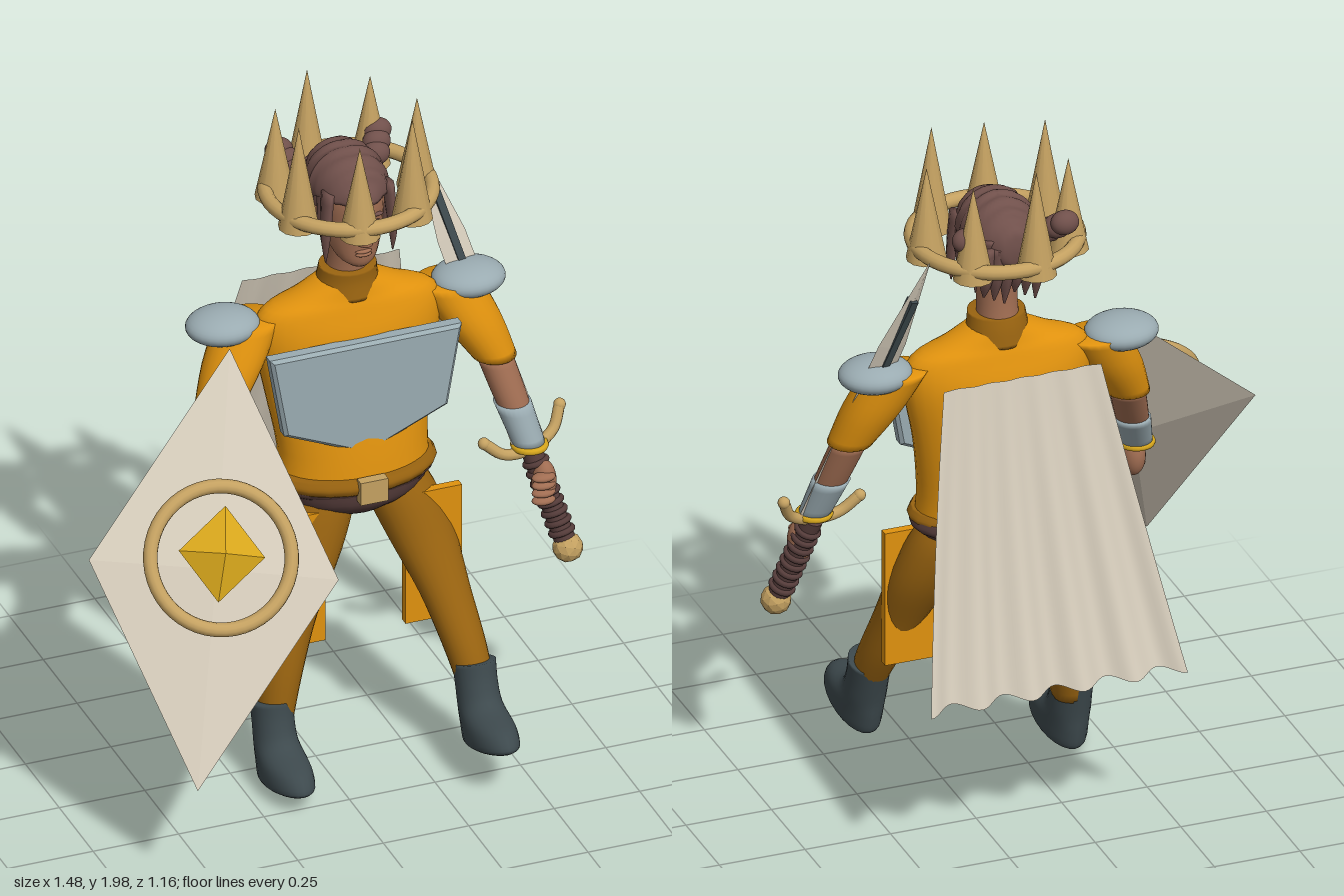
import * as THREE from 'three';

const mat = (name, color, side = THREE.FrontSide) => {
  const m = new THREE.MeshStandardMaterial({ color, side });
  m.name = name;
  return m;
};
const V = (x, y, z) => new THREE.Vector3(x, y, z);

// Skin through horizontal elliptical sections [x, y, z, rx, rz], listed bottom to top
function loft(sections, seg = 24, sub = 4) {
  const rings = [];
  const catmull = (a, b, c, d, t) =>
    b + 0.5 * t * (c - a + t * (2 * a - 5 * b + 4 * c - d + t * (3 * (b - c) + d - a)));
  const last = sections.length - 1;
  for (let i = 0; i < last; i++) for (let k = 0; k < sub; k++) {
    const [a, b, c, d] = [i - 1, i, i + 1, i + 2].map(n => sections[Math.min(last, Math.max(0, n))]);
    rings.push(b.map((_, j) => catmull(a[j], b[j], c[j], d[j], k / sub)));
  }
  rings.push(sections[last]);
  const pos = [], idx = [], n = rings.length;
  rings.forEach(([x, y, z, rx, rz]) => {
    for (let s = 0; s < seg; s++) {
      const a = s / seg * Math.PI * 2;
      pos.push(x + rx * Math.cos(a), y, z + rz * Math.sin(a));
    }
  });
  pos.push(...rings[0].slice(0, 3), ...rings[n - 1].slice(0, 3));
  for (let s = 0; s < seg; s++) {
    const t = (s + 1) % seg, top = (n - 1) * seg;
    for (let r = 0; r < n - 1; r++) {
      const a = r * seg + s, b = r * seg + t;
      idx.push(a, a + seg, b, b, a + seg, b + seg);
    }
    idx.push(n * seg, s, t, n * seg + 1, top + t, top + s);
  }
  const g = new THREE.BufferGeometry();
  g.setAttribute('position', new THREE.Float32BufferAttribute(pos, 3));
  g.setIndex(idx);
  g.computeVertexNormals();
  return g;
}

function flat(g) {
  const f = g.index ? g.toNonIndexed() : g;
  f.computeVertexNormals();
  return f;
}

export function createModel() {
  const root = new THREE.Group();
  const orange = mat('orange cloth', 0xe0920e), ochre = mat('dark orange cloth', 0x9a6410);
  const steel = mat('pale steel', 0x9aabb1), cream = mat('cream', 0xd3cab9, THREE.DoubleSide);
  const hairMat = mat('hair brown', 0x70504b), leather = mat('dark leather', 0x553c3a);
  const skin = mat('skin', 0xa06d52), slate = mat('slate', 0x3d494d);
  const tan = mat('tan gold', 0xc4a161), gold = mat('yellow gold', 0xd8a71c);

  const add = (name, geo, m, pos = [0, 0, 0], parent = root, scale = [1, 1, 1]) => {
    const mesh = new THREE.Mesh(geo, m);
    mesh.name = name;
    mesh.position.set(...pos);
    mesh.scale.set(...scale);
    parent.add(mesh);
    return mesh;
  };
  const group = (name, parent = root) => {
    const g = new THREE.Group();
    g.name = name;
    parent.add(g);
    return g;
  };
  const ball = new THREE.SphereGeometry(1, 28, 18);
  const cx = 0.135;

  // Torso, collar, hips
  add('torso', loft([[0.14, 0.84, -0.075, 0.22, 0.14], [0.14, 0.95, -0.085, 0.215, 0.135],
    [cx, 1.12, -0.105, 0.24, 0.125], [cx, 1.28, -0.11, 0.27, 0.12], [cx, 1.37, -0.11, 0.255, 0.095],
    [cx, 1.41, -0.11, 0.165, 0.08], [cx, 1.45, -0.11, 0.08, 0.07]], 36), orange);
  add('collar', loft([[cx, 1.4, -0.11, 0.095, 0.085], [cx, 1.45, -0.11, 0.085, 0.078], [cx, 1.485, -0.105, 0.08, 0.074]]), ochre);
  add('hips', loft([[cx, 0.76, -0.07, 0.11, 0.09], [cx, 0.8, -0.07, 0.19, 0.13], [cx, 0.85, -0.075, 0.225, 0.145]]), leather);
  add('beltLower', loft([[cx, 0.835, -0.08, 0.225, 0.145], [cx, 0.85, -0.08, 0.237, 0.152], [cx, 0.872, -0.08, 0.232, 0.15]]), leather);
  add('beltUpper', loft([[cx, 0.85, -0.07, 0.225, 0.145], [cx, 0.87, -0.07, 0.24, 0.153], [cx, 0.893, -0.07, 0.228, 0.145]]), ochre);
  add('buckle', new THREE.BoxGeometry(0.08, 0.07, 0.03), tan, [cx, 0.865, 0.08]);

  // Chest plate
  const plate = new THREE.Shape([[-0.27, 0.34], [-0.23, 0.11], [0, 0.01], [0.23, 0.11], [0.27, 0.34]].map(p => new THREE.Vector2(...p)));
  add('chestPlate', new THREE.ExtrudeGeometry(plate, { depth: 0.03, bevelThickness: 0.01, bevelSize: 0.01, bevelSegments: 1 }),
    steel, [cx, 0.955, 0]);

  // Legs, boots and thigh plates
  const bootGeo = loft([[0, 0, 0.07, 0.05, 0.12], [0, 0.015, 0.07, 0.065, 0.14], [0, 0.06, 0.055, 0.066, 0.125],
    [0, 0.11, 0.01, 0.06, 0.075], [0, 0.17, 0, 0.058, 0.064], [0, 0.23, 0, 0.06, 0.064]]);
  const legs = {
    right: { leg: [[-0.14, 0.17, 0.045, 0.05, 0.055], [-0.115, 0.32, 0.025, 0.062, 0.07], [-0.07, 0.48, 0, 0.07, 0.075],
      [-0.01, 0.65, -0.035, 0.095, 0.09], [0.03, 0.78, -0.06, 0.1, 0.095], [0.045, 0.86, -0.07, 0.08, 0.08]],
    boot: [-0.145, 0.018, 0.085], tilt: -0.2, plate: -0.065 },
    left: { leg: [[0.395, 0.25, 0.19, 0.05, 0.055], [0.38, 0.36, 0.135, 0.06, 0.07], [0.35, 0.5, 0.065, 0.072, 0.075],
      [0.31, 0.65, -0.01, 0.095, 0.09], [0.265, 0.78, -0.055, 0.1, 0.095], [0.235, 0.86, -0.07, 0.08, 0.08]],
    boot: [0.395, 0.1, 0.24], tilt: -0.3, plate: 0.335 },
  };
  for (const [side, d] of Object.entries(legs)) {
    add(side + 'Leg', loft(d.leg), ochre);
    add(side + 'Boot', bootGeo, slate, d.boot).rotation.x = d.tilt;
    add(side + 'ThighPlate', new THREE.BoxGeometry(0.165, 0.405, 0.026), orange, [d.plate, 0.588, 0.014]);
  }

  // Arms: sleeve, forearm, bracer, cuff ring, hand, shoulder pad
  const arms = {
    right: { pad: [-0.225, 1.355, -0.12], shoulder: [-0.15, 1.36, -0.12], elbow: [-0.27, 1.13, -0.05], wrist: [-0.36, 0.87, 0.11], hand: [-0.375, 0.8, 0.175] },
    left: { pad: [0.492, 1.355, -0.115], shoulder: [0.43, 1.36, -0.12], elbow: [0.545, 1.13, -0.06], wrist: [0.615, 0.87, 0.035], hand: [0.64, 0.78, 0.07] },
  };
  for (const [side, a] of Object.entries(arms)) {
    const mix = (t, p = a.elbow, q = a.wrist) => p.map((v, i) => v + (q[i] - v) * t);
    const g = group(side + 'Arm');
    add('sleeve', loft([[...a.elbow, 0.062, 0.065], [...mix(0.5, a.elbow, a.shoulder), 0.085, 0.08], [...a.shoulder, 0.09, 0.075]]), orange, [0, 0, 0], g);
    add('forearm', loft([[...a.wrist, 0.035, 0.035], [...mix(0.5), 0.046, 0.048], [...a.elbow, 0.05, 0.052]]), skin, [0, 0, 0], g);
    add('bracer', loft([[...mix(0.97), 0.045, 0.044], [...mix(0.5), 0.052, 0.054]]), steel, [0, 0, 0], g);
    add('cuffRing', new THREE.TorusGeometry(0.043, 0.01, 8, 24), gold, mix(0.97), g).rotation.x = Math.PI / 2;
    add('palm', ball, skin, a.hand, g, [0.034, 0.062, 0.04]);
    for (let i = 0; i < 4; i++)
      add('finger', ball, skin, [a.hand[0] - 0.012, a.hand[1] - 0.045 + i * 0.024, a.hand[2] + 0.028], g, [0.034, 0.013, 0.022]);
    add('shoulderPad', ball, steel, a.pad, root, [0.104, 0.047, 0.09]);
  }

  // Head: lofted face, features, ears, neck
  const head = group('head');
  add('neck', loft([[cx, 1.43, -0.12, 0.062, 0.065], [cx, 1.52, -0.11, 0.056, 0.062], [cx, 1.62, -0.1, 0.06, 0.07]]), skin, [0, 0, 0], head);
  add('face', loft([[cx, 1.53, -0.025, 0.028, 0.03], [cx, 1.55, -0.045, 0.055, 0.06], [cx, 1.6, -0.075, 0.077, 0.093],
    [cx, 1.66, -0.09, 0.088, 0.112], [cx, 1.73, -0.1, 0.094, 0.122], [cx, 1.79, -0.1, 0.075, 0.1], [cx, 1.825, -0.1, 0.03, 0.04]]), skin, [0, 0, 0], head);
  add('nose', loft([[cx, 1.607, 0.022, 0.019, 0.014], [cx, 1.618, 0.028, 0.019, 0.024], [cx, 1.65, 0.02, 0.011, 0.016], [cx, 1.69, 0.012, 0.01, 0.01]], 12), skin, [0, 0, 0], head);
  for (const y of [1.583, 1.573]) add('lip', ball, skin, [cx, y, 0.012], head, [0.024, 0.007, 0.012]);
  for (const s of [-1, 1]) {
    add('eye', ball, leather, [cx + s * 0.036, 1.668, 0.009], head, [0.015, 0.006, 0.006]);
    add('brow', ball, hairMat, [cx + s * 0.037, 1.69, 0.01], head, [0.022, 0.006, 0.008]);
    add('ear', ball, skin, [cx + s * 0.09, 1.65, -0.1], head, [0.014, 0.035, 0.022]);
  }

  // Hair: ridged cap, tufts and hanging locks
  const hair = group('hair', head);
  const capGeo = new THREE.SphereGeometry(1, 40, 40);
  const cp = capGeo.attributes.position;
  for (let i = 0; i < cp.count; i++) {
    const p = V(0, 0, 0).fromBufferAttribute(cp, i);
    p.multiplyScalar(1 + 0.035 * Math.sin(p.z * 20 + 2 * Math.abs(p.x)));
    if (p.y < 0) p.z -= Math.max(0, p.z + 0.4) * Math.min(1, -p.y * 2.2);
    cp.setXYZ(i, p.x, p.y, p.z);
  }
  capGeo.computeVertexNormals();
  add('hairCap', capGeo, hairMat, [cx, 1.735, -0.115], hair, [0.108, 0.108, 0.148]);
  for (const s of [-1, 1]) {
    for (let i = 0; i < 3; i++)
      add('tuft', ball, hairMat, [cx + s * (0.12 + 0.012 * i), 1.75 + 0.02 * i, -0.2 - 0.025 * i], hair, [0.04, 0.035, 0.032]);
    for (let i = 0; i < 5; i++) {
      const z = -0.02 - i * 0.045, low = 1.55 + 0.022 * ((i * 2) % 5);
      const x = cx + s * (0.098 - 0.006 * i);
      add('sideLock', loft([[x, low, z, 0.002, 0.003], [x, low + 0.08, z, 0.013, 0.02], [x - s * 0.01, 1.76, z - 0.01, 0.016, 0.03]], 8), hairMat, [0, 0, 0], hair);
    }
  }
  for (let i = 0; i < 6; i++) {
    const x = cx - 0.075 + i * 0.03;
    add('backLock', loft([[x, 1.55 + 0.015 * (i % 3), -0.205, 0.003, 0.003], [x, 1.64, -0.22, 0.02, 0.022], [x, 1.74, -0.23, 0.022, 0.024]], 8), hairMat, [0, 0, 0], hair);
  }

  // Crown
  const crown = group('crown');
  crown.position.set(0.14, 0, -0.11);
  add('crownRing', new THREE.TorusGeometry(0.228, 0.021, 12, 48), tan, [0, 1.715, 0], crown).rotation.x = Math.PI / 2;
  for (let i = 0; i < 7; i++) {
    const a = i / 7 * Math.PI * 2, h = i % 2 ? 0.31 : 0.275;
    add('crownSpike', new THREE.ConeGeometry(0.057, h, 12), tan, [0.2 * Math.cos(a), 1.68 + h / 2, 0.2 * Math.sin(a)], crown);
  }

  // Cape: flaring wavy sheet
  const cape = new THREE.PlaneGeometry(1, 1, 60, 16);
  const q = cape.attributes.position;
  for (let i = 0; i < q.count; i++) {
    const u = q.getX(i), t = 0.5 - q.getY(i);
    const wave = Math.cos(u * Math.PI * 10) * (0.003 + 0.016 * t);
    q.setXYZ(i, cx + u * (0.46 + 0.29 * t), 1.365 - 0.835 * t + 0.4 * wave * t,
      -0.3 - 0.2 * t - 0.06 * t * t + wave);
  }
  cape.computeVertexNormals();
  add('cape', cape, cream);

  // Shield: flattened diamond with ring and gem
  const shield = group('shield');
  shield.applyMatrix4(new THREE.Matrix4().makeBasis(V(0.95, -0.157, 0.26), V(0.265, 0.836, -0.48), V(-0.142, 0.525, 0.836)));
  shield.position.set(-0.412, 0.845, 0.288);
  const octa = new THREE.OctahedronGeometry(1);
  add('shieldBody', octa, cream, [0, 0, 0], shield, [0.347, 0.604, 0.045]);
  add('shieldRing', new THREE.TorusGeometry(0.196, 0.02, 12, 48), tan, [0, 0.03, 0.1], shield);
  add('shieldGem', octa, gold, [0, 0.04, 0.11], shield, [0.12, 0.132, 0.06]);

  // Sword: pommel at the origin, blade along local y
  const sword = group('sword');
  const up = V(-0.31, 1.195, -0.39).normalize(), across = V(0.97, 0.19, -0.2);
  across.addScaledVector(up, -across.dot(up)).normalize();
  sword.applyMatrix4(new THREE.Matrix4().makeBasis(across, up, across.clone().cross(up)));
  sword.position.set(0.69, 0.585, 0.12);
  add('pommel', flat(new THREE.IcosahedronGeometry(0.043, 1)), tan, [0, 0, 0], sword);
  add('grip', new THREE.CylinderGeometry(0.03, 0.03, 0.28, 16), leather, [0, 0.16, 0], sword);
  for (let i = 0; i < 8; i++)
    add('gripWrap', new THREE.TorusGeometry(0.03, 0.009, 8, 20), leather, [0, 0.05 + i * 0.03, 0], sword).rotation.x = Math.PI / 2;
  const guard = new THREE.CatmullRomCurve3([V(-0.125, 0.375, 0), V(-0.08, 0.32, 0), V(0, 0.3, 0), V(0.08, 0.32, 0), V(0.125, 0.375, 0)]);
  add('guard', new THREE.TubeGeometry(guard, 24, 0.016, 10), tan, [0, 0, 0], sword);
  for (const e of [-1, 1]) add('guardTip', ball, tan, [e * 0.125, 0.375, 0], sword, [0.017, 0.017, 0.017]);
  add('blade', flat(loft([[0, 0.3, 0, 0.05, 0.014], [0, 0.95, 0, 0.045, 0.013], [0, 1.255, 0, 0.002, 0.002]], 4, 1)), cream, [0, 0, 0], sword);
  add('fuller', new THREE.BoxGeometry(0.022, 0.8, 0.029), slate, [0, 0.72, 0], sword);

  return root;
}
